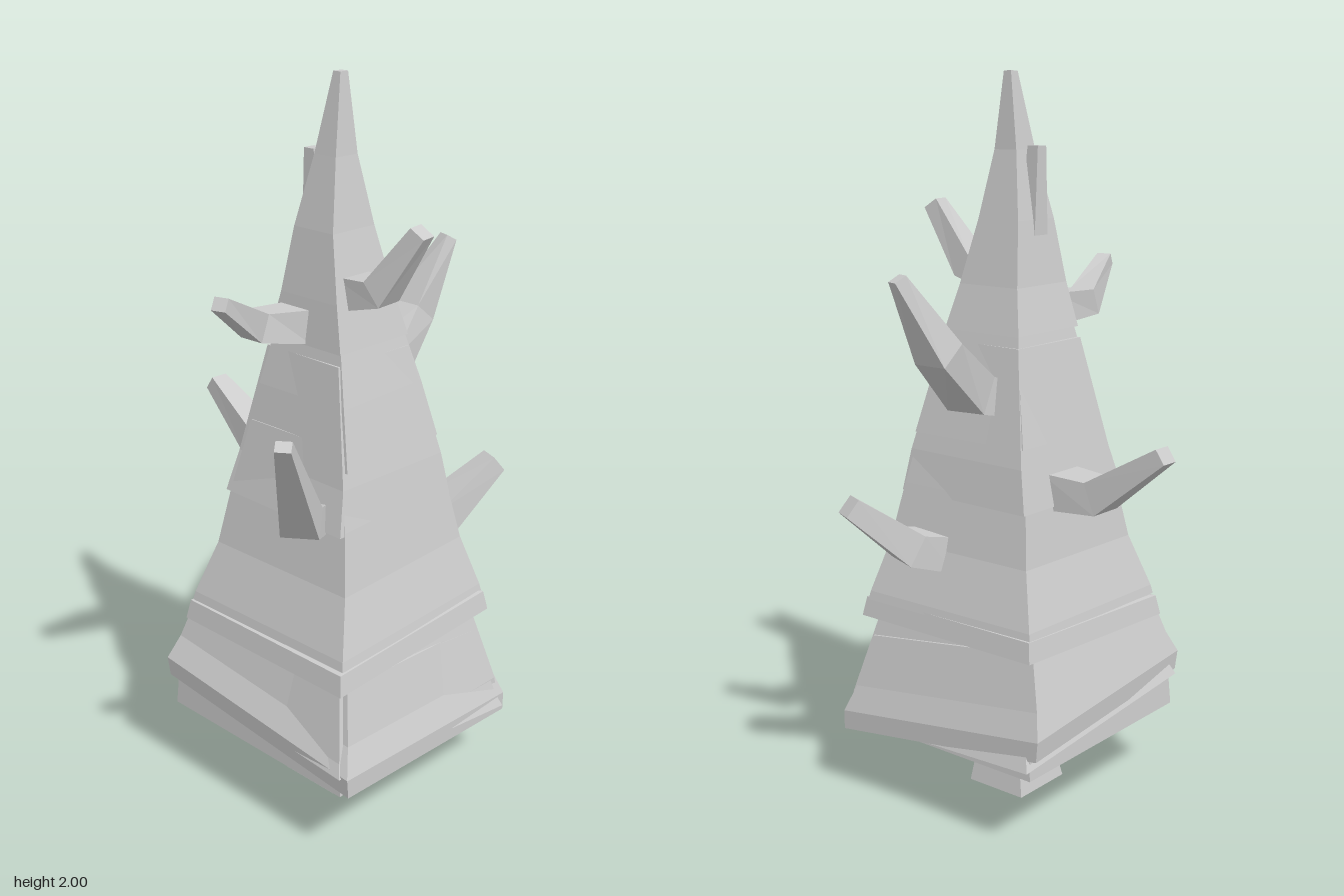
import * as THREE from 'three';

const material = new THREE.MeshStandardMaterial({ color: 0xcccccc, flatShading: true });

// Skin a closed solid over a list of four-cornered rings.
function loft(name, rings) {
  const pos = [];
  const tri = (...p) => p.forEach((v) => pos.push(v.x, v.y, v.z));
  const quad = (a, b, c, d) => { tri(a, b, c); tri(a, c, d); };
  for (let i = 0; i < rings.length - 1; i++) {
    const lo = rings[i], hi = rings[i + 1];
    for (let j = 0; j < 4; j++) {
      const k = (j + 1) % 4;
      quad(lo[j], lo[k], hi[k], hi[j]);
    }
  }
  const first = rings[0], last = rings[rings.length - 1];
  quad(first[3], first[2], first[1], first[0]);
  quad(...last);
  const geometry = new THREE.BufferGeometry();
  geometry.setAttribute('position', new THREE.Float32BufferAttribute(pos, 3));
  geometry.computeVertexNormals();
  const mesh = new THREE.Mesh(geometry, material);
  mesh.name = name;
  return mesh;
}

const corners = [[-1, 1], [1, 1], [1, -1], [-1, -1]];

// Square tier: levels are [y, xMin, xMax, zMin, zMax]; slopes tilt each level.
function tier(name, levels, { slopeX = 0, slopeZ = 0, yaw = 0 } = {}) {
  const c = Math.cos(yaw), s = Math.sin(yaw);
  return loft(name, levels.map(([y, x0, x1, z0, z1]) => corners.map(([i, j]) => {
    const dx = i * (x1 - x0) / 2, dz = j * (z1 - z0) / 2;
    return new THREE.Vector3((x0 + x1) / 2 + dx * c + dz * s,
      y + dx * slopeX + dz * slopeZ, (z0 + z1) / 2 - dx * s + dz * c);
  })));
}

// Bent, tapering branch: points are [x, y, z, width, height].
function branch(name, points) {
  const at = points.map((p) => new THREE.Vector3(p[0], p[1], p[2]));
  const n = at.length - 1;
  return loft(name, points.map(([, , , w, h], i) => {
    const dir = at[Math.min(i + 1, n)].clone().sub(at[Math.max(i - 1, 0)]).normalize();
    const side = new THREE.Vector3(0, 1, 0).cross(dir).normalize();
    const up = dir.clone().cross(side);
    return [[-1, -1], [1, -1], [1, 1], [-1, 1]].map(([a, b]) =>
      at[i].clone().addScaledVector(side, a * w / 2).addScaledVector(up, b * h / 2));
  }));
}

export function createModel() {
  const tree = new THREE.Group();
  tree.name = 'tree';

  // Waisted trunk foot
  tree.add(tier('trunk', [
    [0.005, -0.01, 0.18, -0.095, 0.095],
    [0.12, 0.015, 0.165, -0.075, 0.075],
    [0.25, -0.005, 0.175, -0.09, 0.09],
  ]));

  // Overlapping bark tiers, bottom to top
  const tiers = new THREE.Group();
  tiers.name = 'barkTiers';
  tiers.add(
    tier('undersidePanel', [
      [0.205, -0.18, 0.35, -0.28, 0.25],
      [0.24, -0.18, 0.35, -0.28, 0.25],
    ]),
    tier('bottomTier', [
      [0.22, -0.24, 0.41, -0.34, 0.31],
      [0.3, -0.235, 0.405, -0.335, 0.305],
      [0.6, -0.16, 0.33, -0.26, 0.23],
    ]),
    tier('tiltedSkirt', [
      [0.255, -0.25, 0.43, -0.35, 0.32],
      [0.31, -0.255, 0.43, -0.35, 0.325],
      [0.38, -0.235, 0.4, -0.325, 0.29],
      [0.52, -0.195, 0.365, -0.29, 0.255],
    ], { slopeX: -0.13, slopeZ: 0.06, yaw: 0.03 }),
    tier('lowerSkirt', [
      [0.265, -0.25, 0.425, -0.35, 0.315],
      [0.3, -0.235, 0.41, -0.335, 0.3],
      [0.5, -0.19, 0.36, -0.28, 0.25],
    ], { slopeX: -0.05, slopeZ: 0.1, yaw: -0.02 }),
    tier('collar', [
      [0.51, -0.215, 0.385, -0.31, 0.285],
      [0.565, -0.205, 0.375, -0.3, 0.275],
      [0.57, -0.17, 0.34, -0.27, 0.24],
    ], { slopeZ: -0.05 }),
    tier('middleTier', [
      [0.565, -0.2, 0.37, -0.3, 0.27],
      [0.59, -0.195, 0.365, -0.295, 0.265],
      [0.74, -0.15, 0.325, -0.25, 0.215],
      [0.9, -0.125, 0.295, -0.22, 0.185],
      [1.1, -0.08, 0.25, -0.18, 0.15],
    ], { slopeZ: -0.03, yaw: 0.015 }),
    tier('upperMiddleTier', [
      [0.885, -0.135, 0.3, -0.225, 0.195],
      [1.0, -0.112, 0.28, -0.208, 0.165],
      [1.3, -0.05, 0.21, -0.145, 0.115],
    ], { yaw: -0.015 }),
    tier('upperTier', [
      [1.045, -0.1, 0.272, -0.2, 0.155],
      [1.2, -0.065, 0.237, -0.168, 0.132],
      [1.4, -0.02, 0.185, -0.12, 0.095],
      [1.6, 0.015, 0.145, -0.07, 0.06],
    ], { slopeZ: -0.02, yaw: 0.02 }),
    tier('spire', [
      [1.33, -0.045, 0.21, -0.142, 0.112],
      [1.45, -0.015, 0.183, -0.11, 0.098],
      [1.62, 0.01, 0.146, -0.075, 0.075],
      [1.8, 0.044, 0.118, -0.04, 0.038],
      [2.0, 0.073, 0.097, -0.025, 0.002],
    ]),
  );
  tree.add(tiers);

  // Branches and the small stub beside the spire
  const branches = new THREE.Group();
  branches.name = 'branches';
  branches.add(
    branch('frontLowerBranch', [
      [0.14, 0.89, 0.15, 0.12, 0.08], [0.225, 0.93, 0.265, 0.1, 0.085], [0.38, 1.24, 0.475, 0.04, 0.03],
    ]),
    branch('frontUpperBranch', [
      [0.045, 1.375, 0.08, 0.1, 0.09], [0.005, 1.385, 0.21, 0.075, 0.075], [0.055, 1.485, 0.37, 0.04, 0.035],
    ]),
    branch('rightBranch', [
      [-0.09, 0.92, -0.045, 0.125, 0.1], [-0.24, 0.92, -0.045, 0.1, 0.09], [-0.445, 1.06, -0.05, 0.052, 0.045],
    ]),
    branch('leftBranch', [
      [0.14, 1.465, 0.015, 0.095, 0.09], [0.255, 1.485, 0.015, 0.085, 0.075], [0.365, 1.65, -0.005, 0.05, 0.045],
    ]),
    branch('backUpperBranch', [
      [0.065, 1.16, -0.12, 0.115, 0.1], [0.06, 1.18, -0.21, 0.112, 0.105],
      [0.025, 1.31, -0.37, 0.1, 0.085], [0.06, 1.505, -0.475, 0.036, 0.035],
    ]),
    branch('backLowerBranch', [
      [0.17, 0.73, -0.2, 0.13, 0.1], [0.2, 0.76, -0.31, 0.11, 0.09], [0.265, 0.895, -0.465, 0.06, 0.055],
    ]),
    tier('stub', [
      [1.45, 0.005, 0.075, -0.02, 0.045],
      [1.81, 0.002, 0.036, -0.003, 0.032],
    ]),
  );
  tree.add(branches);
  return tree;
}
